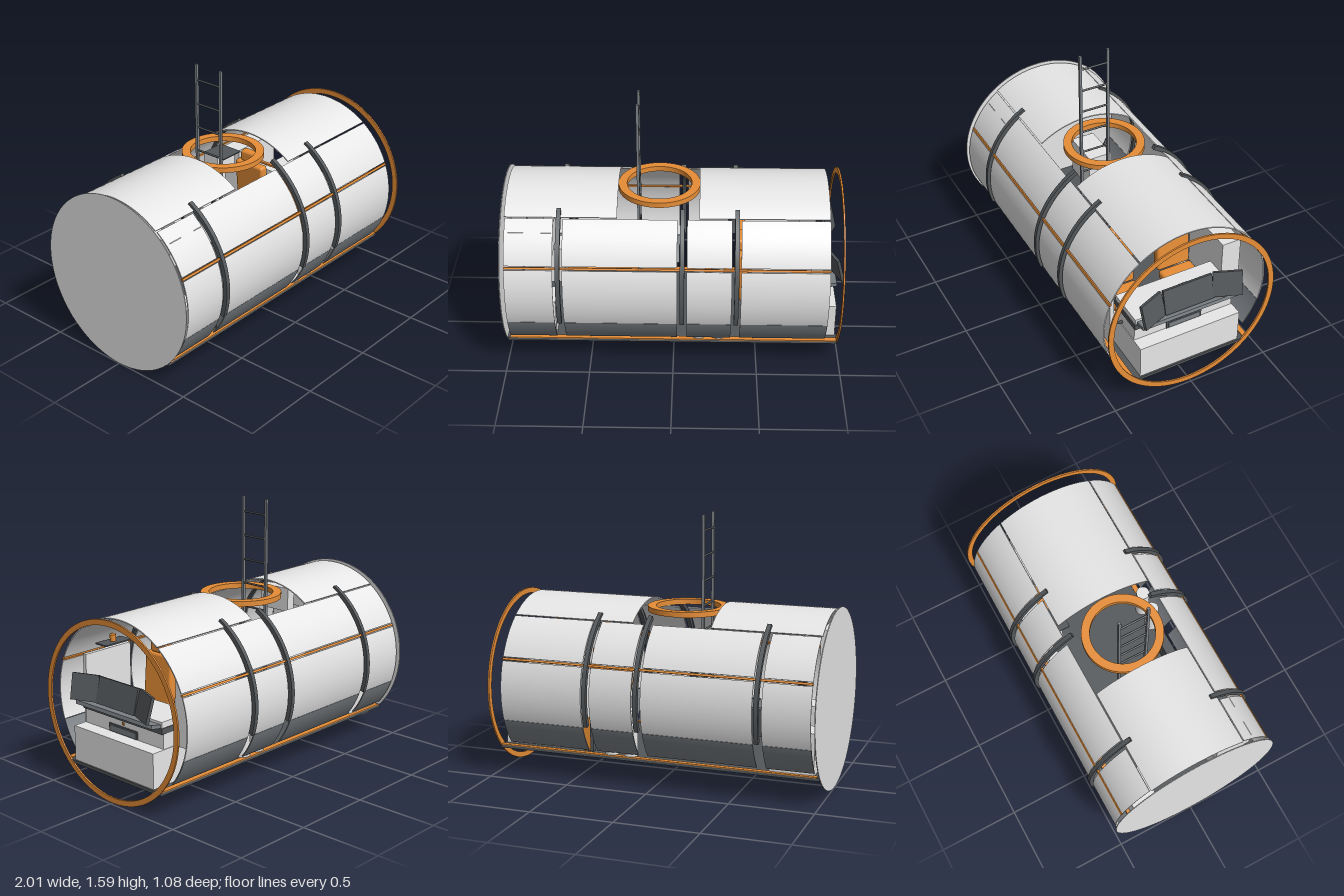
import * as THREE from 'three';
import { toCreasedNormals } from 'three/addons/utils/BufferGeometryUtils.js';
import { RoundedBoxGeometry } from 'three/addons/geometries/RoundedBoxGeometry.js';

const mat = (name, color) => Object.assign(new THREE.MeshStandardMaterial({ color }), { name });
const CY = 0.535; // height of the hull axis

export function createModel() {
  const root = new THREE.Group();
  root.name = 'cabinModule';
  const white = mat('panel white', 0xe6e6e6);
  const bright = mat('fitting white', 0xf2f2f2);
  const dark = mat('dark grey', 0x54585b);
  const steel = mat('steel grey', 0x7e8388);
  const orange = mat('orange', 0xea9038);

  const add = (name, geo, m, x = 0, y = 0, z = 0, parent = root) => {
    const mesh = new THREE.Mesh(geo, m);
    mesh.name = name;
    mesh.position.set(x, y, z);
    parent.add(mesh);
    return mesh;
  };
  // box given by its extents along each axis
  const box = (name, m, x0, x1, y0, y1, z0, z1) =>
    add(name, new THREE.BoxGeometry(x1 - x0, y1 - y0, z1 - z0), m, (x0 + x1) / 2, (y0 + y1) / 2, (z0 + z1) / 2);

  // curved plate around the hull axis, angles in degrees from the horizontal
  const arc = (name, m, x0, x1, r0, r1, a0, a1) => {
    const s = new THREE.Shape();
    const A = THREE.MathUtils.degToRad(a0), B = THREE.MathUtils.degToRad(a1);
    s.absarc(0, 0, r1, A, B, false);
    s.absarc(0, 0, r0, B, A, true);
    const g = new THREE.ExtrudeGeometry(s, { depth: x1 - x0, bevelEnabled: false, curveSegments: 18 });
    g.rotateY(Math.PI / 2);
    return add(name, toCreasedNormals(g, 0.6), m, x0, CY, 0);
  };
  const bothArcs = (name, m, x0, x1, r0, r1, a0, a1) => {
    arc(name + 'Right', m, x0, x1, r0, r1, a0, a1);
    arc(name + 'Left', m, x0, x1, r0, r1, 180 - a1, 180 - a0);
  };
  // flat ring, axis along the extrusion
  const ringGeo = (r0, r1, depth) => {
    const s = new THREE.Shape().absarc(0, 0, r1, 0, Math.PI * 2);
    s.holes.push(new THREE.Path().absarc(0, 0, r0, 0, Math.PI * 2, true));
    return toCreasedNormals(new THREE.ExtrudeGeometry(s, { depth, bevelEnabled: false, curveSegments: 64 }), 0.6);
  };

  // hull panels, the lowest row in grey
  for (const [x0, x1] of [[-0.972, -0.692], [-0.637, 0.024], [0.08, 0.34], [0.393, 0.904]]) {
    bothArcs('lowerPanel', steel, x0, x1, 0.518, 0.525, -39.7, -19.6);
    bothArcs('middlePanel', white, x0, x1, 0.518, 0.525, -19.4, 20.8);
    bothArcs('upperPanel', white, x0, x1, 0.518, 0.525, 23.4, 54);
  }
  for (const [x0, x1] of [[-0.977, -0.326], [0.15, 0.904]]) arc('roofPanel', white, x0, x1, 0.518, 0.525, 55, 125);

  // ribs and long stringers
  for (const x of [-0.662, 0.053, 0.368]) bothArcs('rib', dark, x - 0.013, x + 0.013, 0.513, 0.54, -18, 60.5);
  bothArcs('stringer', orange, -0.972, 0.904, 0.514, 0.528, 21.4, 22.8);

  // end wall, front ring, floor
  add('endWall', new THREE.CylinderGeometry(0.535, 0.535, 0.005, 96).rotateZ(Math.PI / 2), white, -0.997, CY, 0);
  add('frontRing', ringGeo(0.502, 0.535, 0.01).rotateY(Math.PI / 2), orange, 0.975, CY, 0);
  box('floor', dark, -0.996, 0.98, 0.152, 0.17, -0.39, 0.39);
  for (const s of [-1, 1])
    box('floorTrim', orange, -0.98, 0.98, 0.17, 0.176, s * 0.377 - 0.016, s * 0.377 + 0.016);

  // roof hatch
  add('hatchRing', ringGeo(0.192, 0.242, 0.032).rotateX(-Math.PI / 2), orange, -0.088, 1, 0);
  for (const s of [-1, 1])
    box('roofBracket', orange, 0.28, 0.32, 0.97, 1.0, s * 0.22 - 0.006, s * 0.22 + 0.006);

  // ladder
  for (const s of [-1, 1]) box('ladderRail', steel, -0.218, -0.202, 0.17, 1.585, s * 0.09 - 0.008, s * 0.09 + 0.008);
  for (let i = 0; i < 9; i++)
    add('ladderRung', new THREE.CylinderGeometry(0.006, 0.006, 0.17, 10).rotateX(Math.PI / 2), dark, -0.21, 1.49 - i * 0.147, 0);

  // control desk
  box('deskBase', bright, 0.62, 0.97, 0.17, 0.38, -0.325, 0.325);
  box('deskBody', bright, 0.66, 0.885, 0.38, 0.47, -0.32, 0.32);
  box('deskEdge', dark, 0.64, 0.9, 0.47, 0.505, -0.325, 0.325);
  box('deskTop', bright, 0.66, 0.895, 0.505, 0.54, -0.32, 0.32);
  box('ventFrame', dark, 0.884, 0.891, 0.382, 0.43, -0.115, 0.115);
  box('ventSlats', steel, 0.89, 0.894, 0.39, 0.42, -0.1, 0.1);
  box('deskLight', orange, 0.884, 0.891, 0.442, 0.458, -0.007, 0.007);
  add('keyboard', new THREE.BoxGeometry(0.075, 0.022, 0.62), steel, 0.928, 0.52, 0).rotation.z = 0.18;

  // three tilted screens, the outer two turned inwards
  for (const k of [-1, 0, 1]) {
    const g = new THREE.Group();
    g.name = 'screen';
    g.position.set(k ? 0.95 : 0.925, 0.625, k * 0.242);
    g.rotation.y = k * 0.38;
    const panel = add('screenPanel', new THREE.BoxGeometry(0.018, 0.155, k ? 0.17 : 0.315), dark, 0, 0, 0, g);
    panel.rotation.z = 0.25;
    root.add(g);
  }
  box('screenStand', dark, 0.86, 0.9, 0.54, 0.66, -0.03, 0.03);

  // two seats
  for (const s of [-1, 1]) {
    const seat = new THREE.Group();
    seat.name = 'seat';
    seat.position.set(0.41, 0, s * 0.19);
    const pad = (n, w, h, d, x, y) => add(n, new RoundedBoxGeometry(w, h, d, 2, 0.018), orange, x, y, 0, seat);
    pad('headrest', 0.06, 0.075, 0.135, -0.01, 0.755);
    pad('backrest', 0.06, 0.33, 0.22, 0, 0.55).rotation.z = 0.08;
    pad('cushion', 0.22, 0.06, 0.22, 0.15, 0.37);
    add('seatPost', new THREE.CylinderGeometry(0.03, 0.03, 0.16, 20), dark, 0.15, 0.26, 0, seat);
    add('seatFoot', new THREE.CylinderGeometry(0.075, 0.08, 0.015, 24), dark, 0.15, 0.178, 0, seat);
    root.add(seat);
  }
  box('seatCrossbar', orange, 0.39, 0.41, 0.738, 0.75, -0.13, 0.13);

  // side cabinets and fittings
  box('rightCabinet', bright, 0.42, 0.78, 0.37, 0.75, -0.43, -0.31);
  box('rightLocker', bright, 0.17, 0.33, 0.7, 0.8, -0.385, -0.27);
  box('rightLockerLid', dark, 0.17, 0.33, 0.8, 0.808, -0.385, -0.22);
  box('extinguisherBox', orange, 0.4, 0.45, 0.18, 0.38, -0.355, -0.33);
  box('rightPost', dark, 0.38, 0.4, 0.18, 0.38, -0.37, -0.335);
  box('leftBoard', bright, 0.45, 0.8, 0.32, 0.75, 0.405, 0.43);
  box('leftShelf', dark, 0.5, 0.7, 0.785, 0.793, 0.34, 0.43);
  add('cup', new THREE.CylinderGeometry(0.02, 0.018, 0.04, 20), orange, 0.6, 0.813, 0.39);
  for (const [x0, x1] of [[-0.95, -0.86], [-0.76, -0.7]])
    box('overheadLocker', white, x0, x1, 0.75, 0.904, 0.15, 0.376);
  const hose = new THREE.CatmullRomCurve3([[0.75, 0.6, 0.4], [0.76, 0.5, 0.39], [0.76, 0.43, 0.36], [0.74, 0.4, 0.32]]
    .map(p => new THREE.Vector3(...p)));
  add('hose', new THREE.TubeGeometry(hose, 20, 0.009, 8), dark);
  for (const s of [-1, 1]) {
    box('rearBench', white, -0.96, -0.7, 0.172, 0.42, s * 0.29 - 0.08, s * 0.29 + 0.08);
    for (const x of [0.15, 0.27])
      add('tank', new THREE.CylinderGeometry(0.042, 0.042, 0.28, 24), white, x, 0.315, s * 0.345);
  }
  box('sideBunk', dark, -0.56, 0.01, 0.172, 0.34, 0.3, 0.36);
  return root;
}
